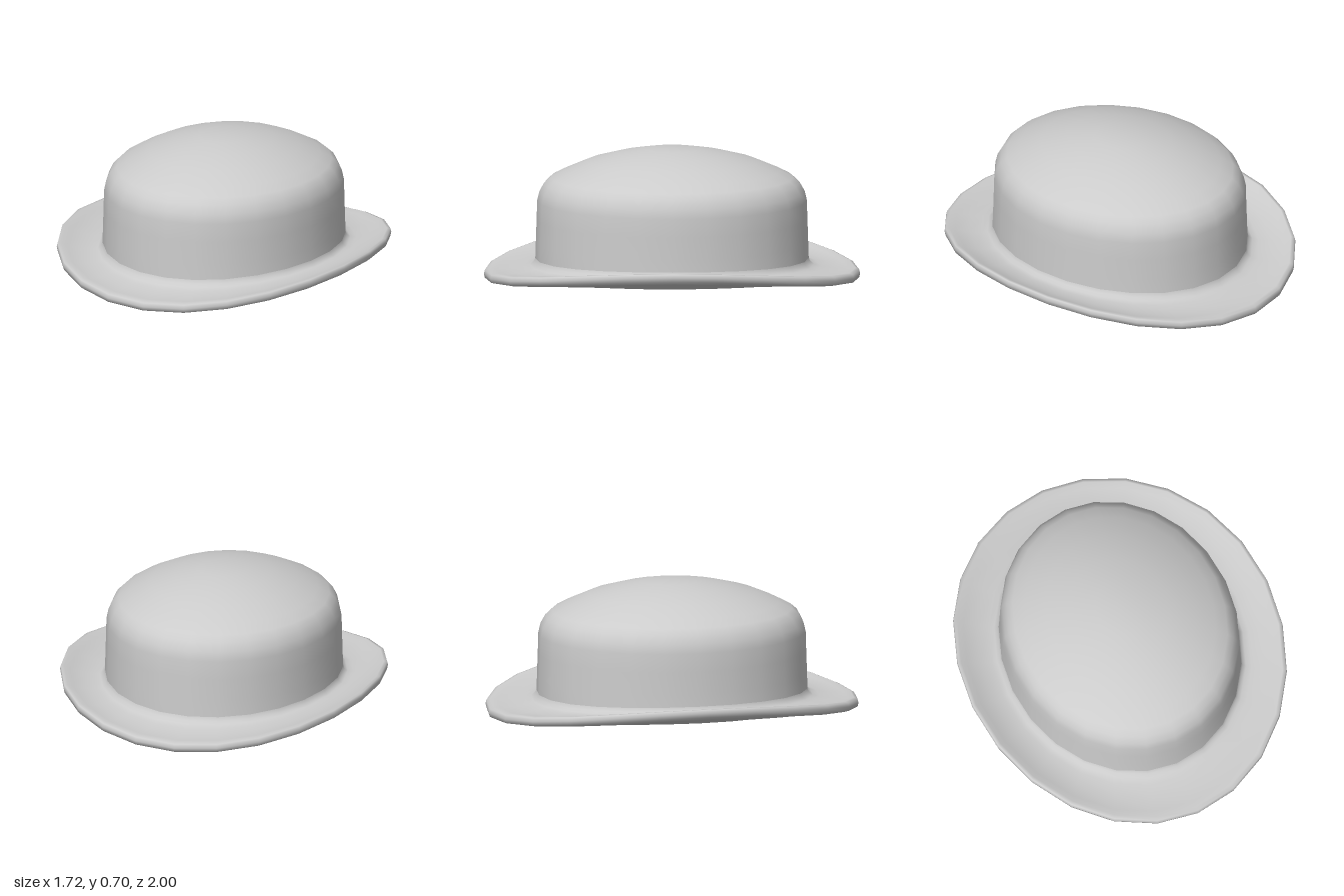
import * as THREE from 'three';
import { mergeVertices } from 'three/addons/utils/BufferGeometryUtils.js';

const SEGMENTS = 24;
const WIDTH = 0.862; // the plan is an ellipse, narrower from side to side
const material = new THREE.MeshStandardMaterial({ color: 0xcccccc, side: THREE.DoubleSide });

// How far the sides of the brim curl up; nothing near the centre or the crown
function curl(x, z, y) {
  const r = Math.hypot(x, z);
  const reach = THREE.MathUtils.clamp((r - 0.55) / 0.45, 0, 1);
  return y < 0.12 ? 0.12 * x * x * reach : 0;
}

// Revolves a [radius, height] profile, curls it and squeezes it to an ellipse
function ovalPart(name, profile) {
  const points = profile.map(([r, y]) => new THREE.Vector2(r, y));
  let geometry = new THREE.LatheGeometry(points, SEGMENTS);
  const p = geometry.attributes.position;
  for (let i = 0; i < p.count; i++) {
    const x = p.getX(i), y = p.getY(i), z = p.getZ(i);
    p.setXYZ(i, x * WIDTH, y + curl(x, z, y), z);
  }
  geometry.deleteAttribute('normal');
  geometry.deleteAttribute('uv');
  geometry = mergeVertices(geometry, 1e-4);
  geometry.computeVertexNormals();
  const mesh = new THREE.Mesh(geometry, material);
  mesh.name = name;
  return mesh;
}

export function createModel() {
  const hat = new THREE.Group();
  hat.name = 'roundHat';

  // Brim: underside from its central opening, rolled lip, upper side, fillet
  hat.add(ovalPart('brim', [
    [0.333, 0.02], [0.55, 0.02], [0.72, 0.02], [0.86, 0.013], [0.97, 0.0],
    [0.995, 0.004], [1.0, 0.025], [0.995, 0.046], [0.975, 0.055], [0.94, 0.05],
    [0.86, 0.054], [0.79, 0.064], [0.755, 0.075], [0.735, 0.09], [0.727, 0.11],
  ]));

  // Crown: nearly upright wall, rounded shoulder, shallow dome
  hat.add(ovalPart('crown', [
    [0.727, 0.11], [0.724, 0.2], [0.72, 0.32], [0.717, 0.42], [0.705, 0.47],
    [0.68, 0.515], [0.645, 0.545], [0.575, 0.58], [0.45, 0.633], [0.3, 0.672],
    [0.15, 0.698], [0, 0.702],
  ]));

  return hat;
}
